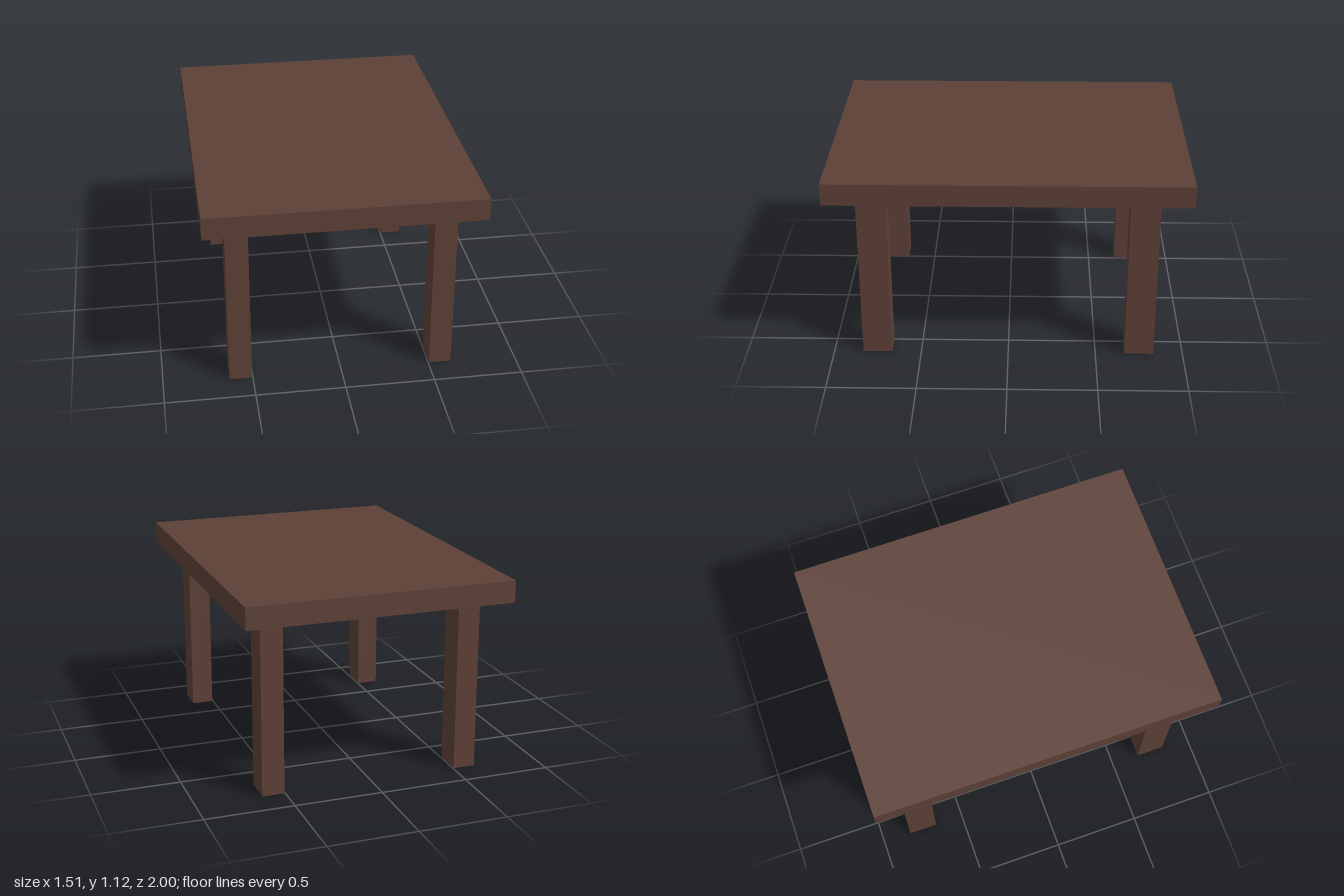
import * as THREE from 'three';

export function createModel() {
  const table = new THREE.Group();
  table.name = 'table';
  const wood = new THREE.MeshStandardMaterial({ color: 0x5d4037 });

  const legHeight = 1.0;
  const topThickness = 0.124;

  // Table top: a plain slab resting on the legs
  const top = new THREE.Mesh(new THREE.BoxGeometry(1.51, topThickness, 2), wood);
  top.name = 'tableTop';
  top.position.y = legHeight + topThickness / 2;
  table.add(top);

  // Four square-cut legs, inset from the corners
  const legGeometry = new THREE.BoxGeometry(0.126, legHeight, 0.166);
  for (const [zName, z] of [['front', 1], ['back', -1]]) {
    for (const [xName, x] of [['Left', 1], ['Right', -1]]) {
      const leg = new THREE.Mesh(legGeometry, wood);
      leg.name = `${zName}${xName}Leg`;
      leg.position.set(x * 0.567, legHeight / 2, z * 0.75);
      table.add(leg);
    }
  }
  return table;
}
